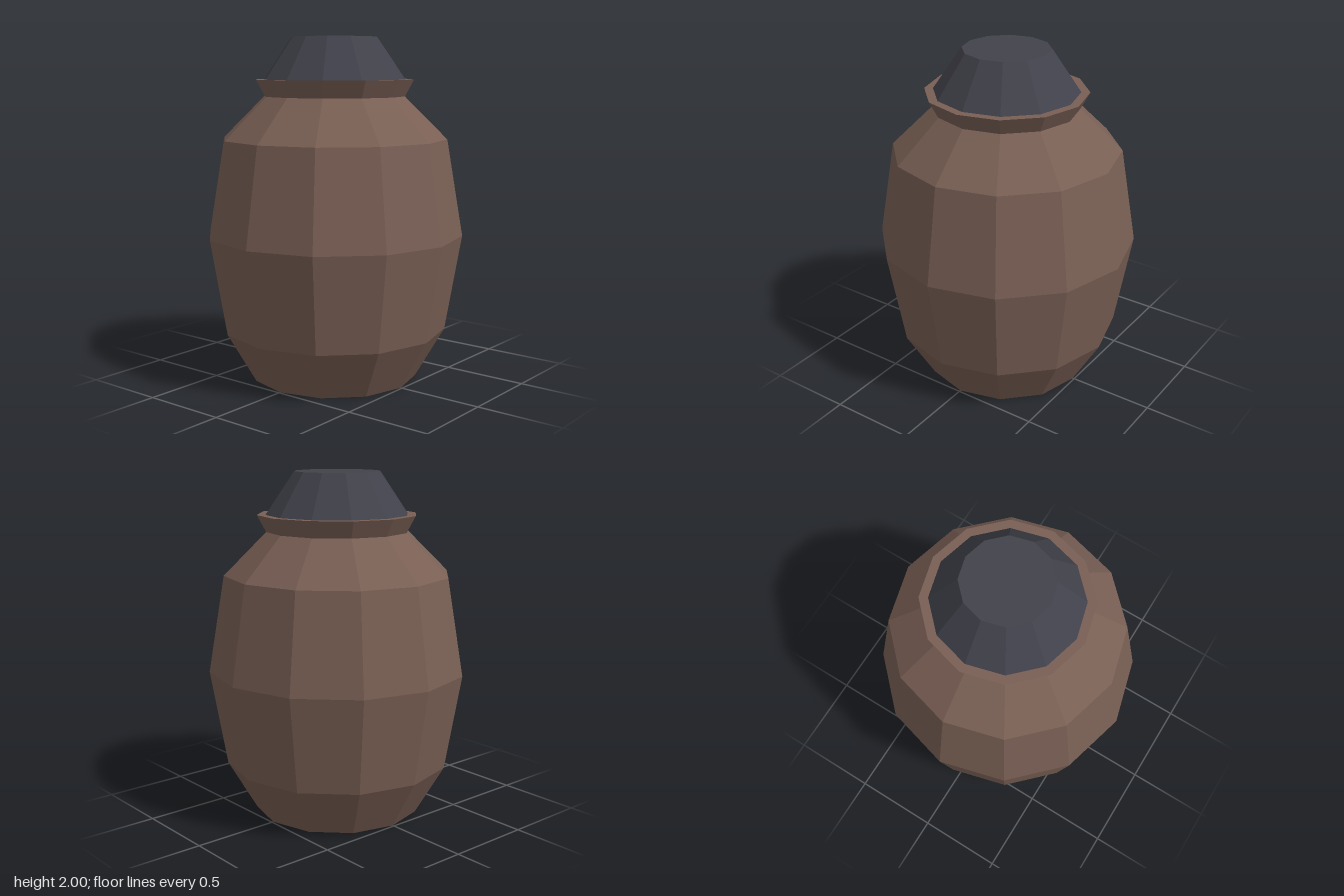
import * as THREE from 'three';

const SIDES = 12;

export function createModel() {
  const group = new THREE.Group();
  const clay = new THREE.MeshStandardMaterial({ color: 0x795f54, flatShading: true });
  const dark = new THREE.MeshStandardMaterial({ color: 0x42424c, flatShading: true });

  const add = (name, geometry, material) => {
    const mesh = new THREE.Mesh(geometry, material);
    mesh.name = name;
    group.add(mesh);
    return mesh;
  };
  // Faceted solid of revolution from [radius, height] pairs, bottom to top
  const turned = (profile) =>
    new THREE.LatheGeometry(profile.map(([r, y]) => new THREE.Vector2(r, y)), SIDES);

  // Barrel-shaped body with a closed base and sloping shoulder
  add('jarBody', turned([
    [0, 0], [0.49, 0], [0.66, 0.295], [0.755, 0.855], [0.66, 1.415], [0.413, 1.66],
  ]), clay);

  // Flared collar with a flat top running in under the lid
  add('rim', turned([[0.413, 1.66], [0.465, 1.757], [0, 1.757]]), clay);

  // Tapered lid
  const lidHeight = 2 - 1.757;
  add('lid', new THREE.CylinderGeometry(0.25, 0.415, lidHeight, SIDES, 1, false), dark)
    .position.y = 1.757 + lidHeight / 2;

  return group;
}
